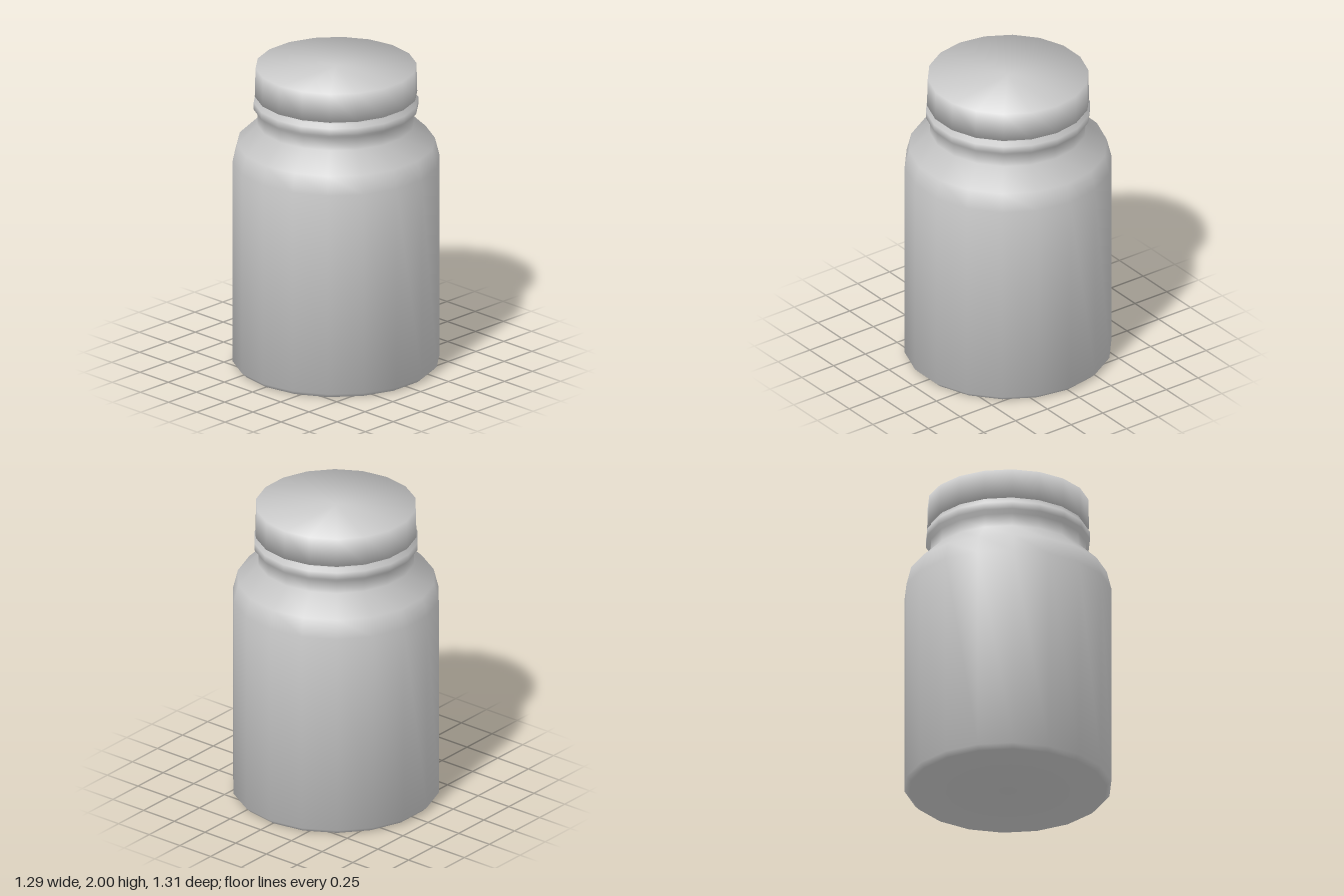
import * as THREE from 'three';

const SIDES = 18;

// Lathe whose normals average the neighbouring profile segments equally, so the whole turn shades softly
function turned(name, profile, material) {
  const points = profile.map(([r, y]) => new THREE.Vector2(r, y));
  const geometry = new THREE.LatheGeometry(points, SIDES);
  const segments = points.slice(1).map((p, i) => {
    const d = p.clone().sub(points[i]).normalize();
    return new THREE.Vector2(d.y, -d.x);
  });
  const last = points.length - 1;
  const normals = points.map((p, i) => {
    if (p.x === 0) return new THREE.Vector2(0, i === 0 ? -1 : 1);
    const before = segments[Math.max(i - 1, 0)];
    const after = segments[Math.min(i, last - 1)];
    return before.clone().add(after).normalize();
  });
  const attribute = geometry.attributes.normal;
  for (let s = 0; s <= SIDES; s++) {
    const angle = (s / SIDES) * Math.PI * 2;
    normals.forEach((n, j) => {
      attribute.setXYZ(s * points.length + j, n.x * Math.sin(angle), n.y, n.x * Math.cos(angle));
    });
  }
  const mesh = new THREE.Mesh(geometry, material);
  mesh.name = name;
  return mesh;
}

export function createModel() {
  const group = new THREE.Group();
  group.name = 'jar';
  const material = new THREE.MeshStandardMaterial({ color: 0xcccccc, side: THREE.DoubleSide });

  // Jar body: chamfered base, straight wall, sloping shoulder, neck with a collar ring
  group.add(turned('body', [
    [0, 0], [0.627, 0], [0.657, 0.03],
    [0.657, 1.37], [0.627, 1.49],
    [0.497, 1.615], [0.497, 1.7],
    [0.522, 1.722], [0.522, 1.77],
    [0.497, 1.79], [0.497, 1.83],
  ], material));

  // Flat lid, slightly wider at its lower edge
  group.add(turned('lid', [
    [0.49, 1.81], [0.515, 1.81], [0.51, 2], [0, 2],
  ], material));

  return group;
}
